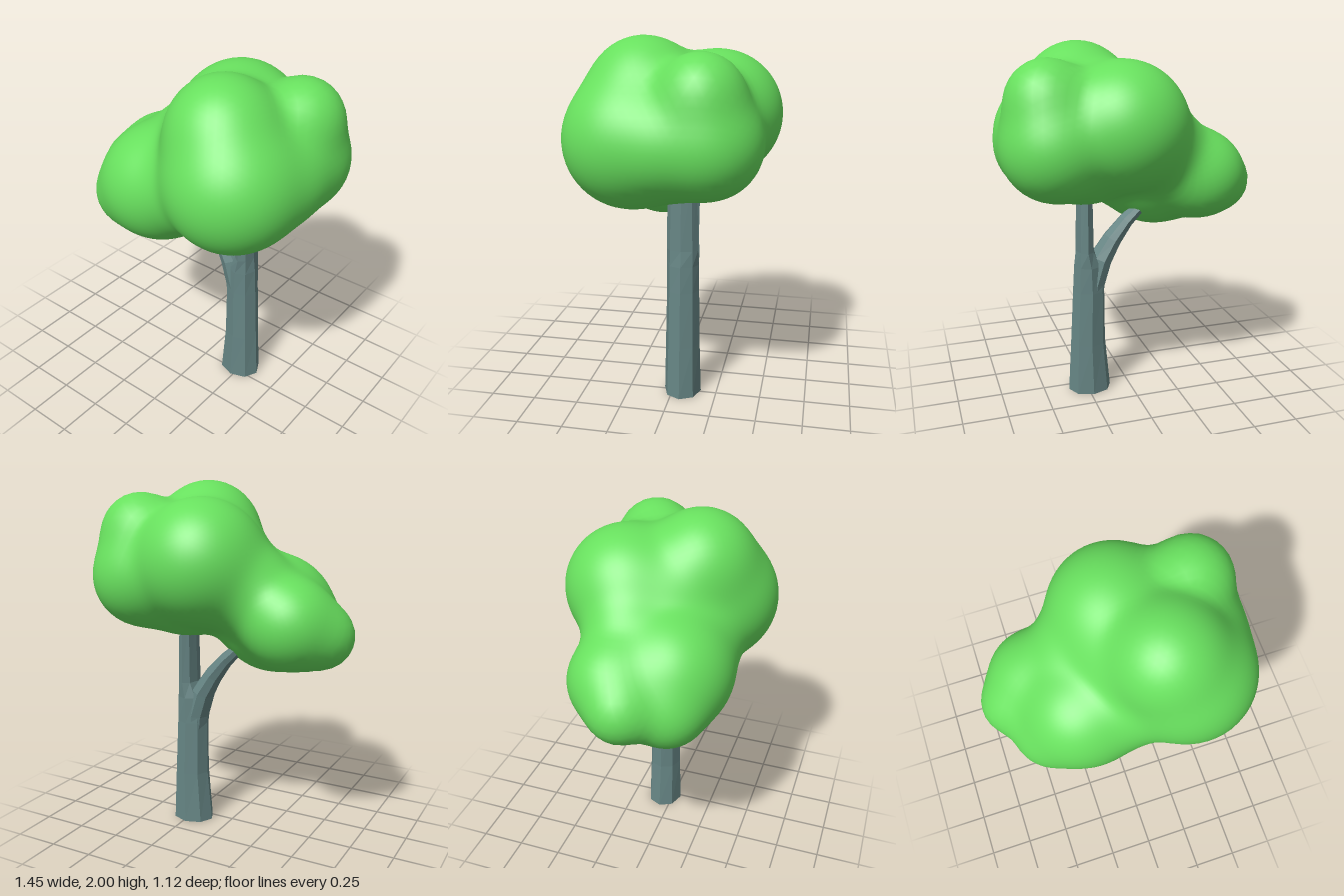
import * as THREE from 'three';
import { mergeVertices } from 'three/addons/utils/BufferGeometryUtils.js';

// Foliage lobes: x, y, z, radius
const LOBES = [
  // Main crown
  [0.33, 1.47, 0.2, 0.36],
  [0.23, 1.7, 0.15, 0.295],
  [0.07, 1.58, -0.22, 0.34],
  [0.47, 1.72, -0.19, 0.215],
  [0.44, 1.48, -0.22, 0.28],
  [0.46, 1.47, 0, 0.25],
  [0.1, 1.52, 0, 0.31],
  [0.25, 1.4, -0.08, 0.25],
  // Bridges between crown and side clump
  [0.02, 1.34, 0.18, 0.25],
  [-0.17, 1.43, -0.13, 0.23],
  // Lower side clump
  [-0.21, 1.27, 0.13, 0.33],
  [-0.41, 1.15, 0.17, 0.19],
  [-0.4, 1.27, -0.12, 0.245],
  [-0.56, 1.2, -0.03, 0.165],
];

// Distance to the softly blended lobes
function foliageDistance(p) {
  const k = 0.04;
  let sum = 0;
  for (const [x, y, z, r] of LOBES) {
    sum += Math.exp(-(Math.hypot(p.x - x, p.y - y, p.z - z) - r) / k);
  }
  return -k * Math.log(sum);
}

// Shrink-wrap a sphere onto the blended lobes
function foliageGeometry() {
  let geo = new THREE.IcosahedronGeometry(1, 18);
  geo.deleteAttribute('normal');
  geo.deleteAttribute('uv');
  geo = mergeVertices(geo, 1e-4);
  const pos = geo.attributes.position;
  const centre = new THREE.Vector3(0, 1.4, 0);
  const dir = new THREE.Vector3();
  const p = new THREE.Vector3();
  for (let i = 0; i < pos.count; i++) {
    dir.fromBufferAttribute(pos, i).normalize();
    let t = 1.2;
    for (let step = 0; step < 80; step++) {
      const d = foliageDistance(p.copy(centre).addScaledVector(dir, t));
      if (Math.abs(d) < 1e-4) break;
      t -= d * 0.9;
    }
    p.copy(centre).addScaledVector(dir, t);
    pos.setXYZ(i, p.x, p.y, p.z);
  }
  geo.computeVertexNormals();
  return geo;
}

// Eight-sided limb through rings of [x, y, radiusX, radiusZ, tilt]
function limbGeometry(rings, z) {
  const sides = 8;
  const verts = [];
  const index = [];
  for (const [x, y, rx, rz, tilt] of rings) {
    for (let i = 0; i < sides; i++) {
      const a = (i / sides) * Math.PI * 2;
      const u = Math.cos(a) * rx;
      verts.push(x + u * Math.cos(tilt), y + u * Math.sin(tilt), z + Math.sin(a) * rz);
    }
  }
  for (let j = 0; j < rings.length - 1; j++) {
    for (let i = 0; i < sides; i++) {
      const a = j * sides + i;
      const b = j * sides + ((i + 1) % sides);
      index.push(a, a + sides, b, b, a + sides, b + sides);
    }
  }
  // End caps
  const top = (rings.length - 1) * sides;
  for (let i = 1; i < sides - 1; i++) {
    index.push(0, i, i + 1, top, top + i + 1, top + i);
  }
  const geo = new THREE.BufferGeometry();
  geo.setAttribute('position', new THREE.Float32BufferAttribute(verts, 3));
  geo.setIndex(index);
  geo.computeVertexNormals();
  return geo;
}

export function createModel() {
  const group = new THREE.Group();
  group.name = 'tree';
  const bark = new THREE.MeshStandardMaterial({ color: 0x668584, flatShading: true });
  const leaves = new THREE.MeshStandardMaterial({ color: 0x68e05e });

  const add = (name, geometry, material) => {
    const mesh = new THREE.Mesh(geometry, material);
    mesh.name = name;
    group.add(mesh);
  };

  // Main stem, running up into the foliage
  add('trunk', limbGeometry([
    [0.235, 0, 0.125, 0.105, 0],
    [0.24, 0.3, 0.102, 0.097, 0],
    [0.232, 0.62, 0.092, 0.091, 0],
    [0.236, 0.77, 0.079, 0.089, 0],
    [0.252, 0.86, 0.052, 0.087, 0],
    [0.25, 1.25, 0.044, 0.08, 0],
  ], -0.055), bark);

  // Side limb curving out to the lower clump
  add('branch', limbGeometry([
    [0.21, 0.54, 0.06, 0.075, 0],
    [0.2, 0.66, 0.066, 0.08, 0.15],
    [0.158, 0.8, 0.066, 0.078, 0.4],
    [0.09, 0.91, 0.054, 0.064, 0.6],
    [0.01, 1.01, 0.042, 0.052, 0.75],
    [-0.07, 1.085, 0.034, 0.042, 0.85],
  ], -0.055), bark);

  add('foliage', foliageGeometry(), leaves);
  return group;
}
